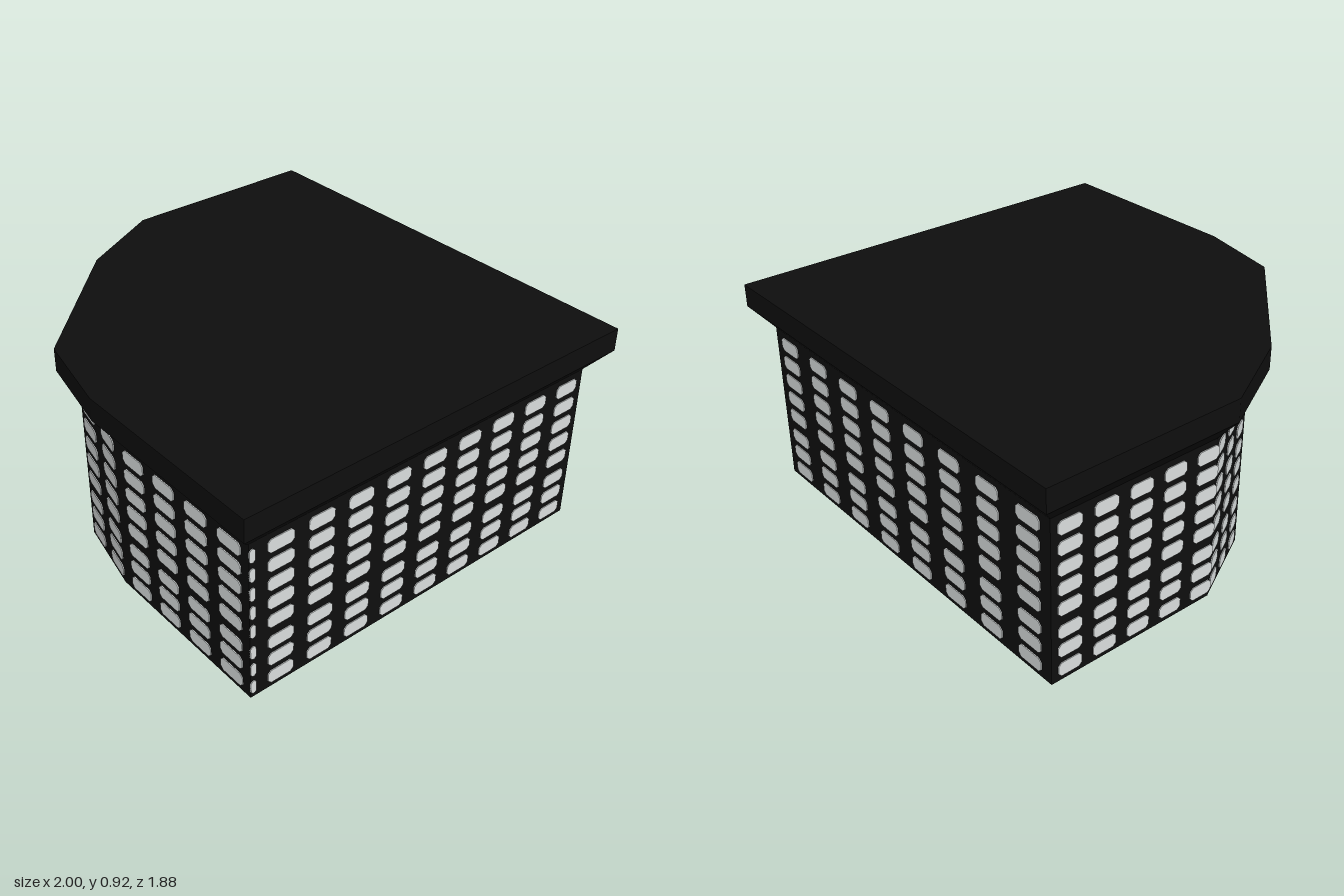
import * as THREE from 'three';
import { mergeGeometries } from 'three/addons/utils/BufferGeometryUtils.js';

// Roof outline as [x, z]: square block with one faceted corner
const ROOF = [[1, -0.94], [-1, -0.94], [-1, -0.05], [-0.8, 0.33], [-0.28, 0.86], [0.1, 0.94], [1, 0.94]];
const INSET = 0.08;
const CORNICE_BASE = 0.725, CORNICE_LIP = 0.82, TOP = 0.92;

// Window rows (centre heights) and, for each wall, window columns measured along the wall
const ROWS = [0.05, 0.136, 0.22, 0.322, 0.41, 0.495, 0.582, 0.668];
const ROW_HEIGHT = 0.06;
const COLUMNS = [
  { name: 'back', first: 0.11, pitch: 0.23, count: 8, width: 0.13 },
  { name: 'left', first: 0.085, pitch: 0.165, count: 5, width: 0.11 },
  { name: 'leftFacet', first: 0.06, pitch: 0.132, count: 3, width: 0.085 },
  { name: 'corner', first: 0.12, pitch: 0.16, count: 4, width: 0.11 },
  { name: 'frontFacet', first: 0.087, pitch: 0.2, count: 2, width: 0.13 },
  { name: 'front', first: 0.125, pitch: 0.193, count: 4, width: 0.13 },
  { name: 'right', first: 0.14, pitch: 0.186, count: 9, width: 0.12, edge: 0.025 },
];

const outward = (a, b) => {
  const dx = b[0] - a[0], dz = b[1] - a[1], len = Math.hypot(dx, dz);
  return [-dz / len, dx / len];
};

// Move every side of the outline inwards by the same distance
function insetOutline(points, d) {
  const n = points.length;
  return points.map((p, i) => {
    const u = outward(points[(i + n - 1) % n], p), v = outward(p, points[(i + 1) % n]);
    const k = d / (1 + u[0] * v[0] + u[1] * v[1]);
    return [p[0] - (u[0] + v[0]) * k, p[1] - (u[1] + v[1]) * k];
  });
}

// Flat-sided band between two outlines at two heights
function band(lower, y0, upper, y1) {
  const pos = [];
  lower.forEach((a, i) => {
    const j = (i + 1) % lower.length;
    const A = [a[0], y0, a[1]], B = [lower[j][0], y0, lower[j][1]];
    const C = [upper[j][0], y1, upper[j][1]], D = [upper[i][0], y1, upper[i][1]];
    pos.push(...A, ...B, ...C, ...A, ...C, ...D);
  });
  const g = new THREE.BufferGeometry();
  g.setAttribute('position', new THREE.Float32BufferAttribute(pos, 3));
  g.computeVertexNormals();
  return g;
}

// Thin window pane with clipped corners, visible on both sides of the wall
function pane(w, h) {
  const c = Math.min(0.014, w / 3), x = w / 2, y = h / 2, depth = 0.008;
  const shape = new THREE.Shape([
    [-x + c, -y], [x - c, -y], [x, -y + c], [x, y - c],
    [x - c, y], [-x + c, y], [-x, y - c], [-x, -y + c],
  ].map(([px, py]) => new THREE.Vector2(px, py)));
  return new THREE.ExtrudeGeometry(shape, { depth, bevelEnabled: false }).translate(0, 0, -depth / 2);
}

export function createModel() {
  const group = new THREE.Group();
  const black = new THREE.MeshStandardMaterial({ color: 0x0e0e0e, side: THREE.DoubleSide });
  black.name = 'black facade';
  const glass = new THREE.MeshStandardMaterial({ color: 0xdadede });
  glass.name = 'pale glass';
  const add = (geometry, material, name) => {
    const mesh = new THREE.Mesh(geometry, material);
    mesh.name = name;
    group.add(mesh);
  };

  // Open-bottomed walls, flared cornice and flat roof
  const walls = insetOutline(ROOF, INSET);
  add(band(walls, 0, walls, CORNICE_BASE), black, 'walls');
  add(band(walls, CORNICE_BASE, ROOF, CORNICE_LIP), black, 'corniceFlare');
  add(band(ROOF, CORNICE_LIP, ROOF, TOP), black, 'corniceFascia');
  const roofShape = new THREE.Shape(ROOF.map(([x, z]) => new THREE.Vector2(x, -z)));
  add(new THREE.ShapeGeometry(roofShape).rotateX(-Math.PI / 2).translate(0, TOP, 0), black, 'roof');

  // Window grid on every wall
  COLUMNS.forEach((col, i) => {
    const a = walls[i], b = walls[(i + 1) % walls.length];
    const n = outward(a, b), dir = [n[1], -n[0]];
    const panes = [];
    const place = (s, width) => ROWS.forEach((y) => {
      panes.push(pane(width, ROW_HEIGHT)
        .rotateY(Math.atan2(n[0], n[1]))
        .translate(a[0] + dir[0] * s, y, a[1] + dir[1] * s));
    });
    for (let k = 0; k < col.count; k++) place(col.first + k * col.pitch, col.width);
    if (col.edge) place(col.edge / 2, col.edge);
    add(mergeGeometries(panes), glass, col.name + 'Windows');
  });
  return group;
}
